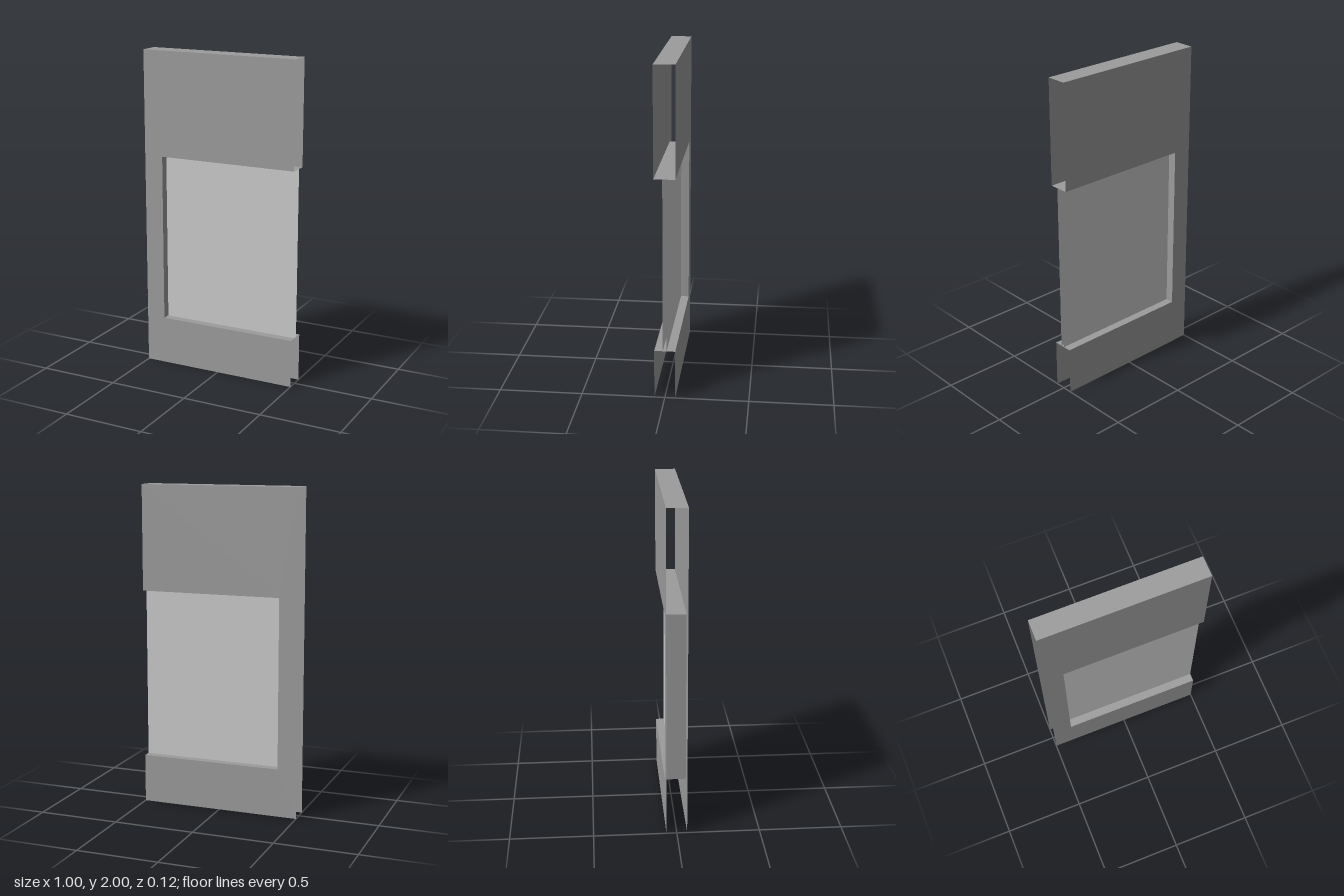
import * as THREE from 'three';

const W = 0.5, H = 2, D = 0.0625;               // half width, height, half depth
const X0 = -0.38, Y0 = 0.3, Y1 = 1.35;          // window opening, open towards +x
const PANE = 0.0115;                            // half thickness of the pane

export function createModel() {
  const group = new THREE.Group();
  const frameMat = new THREE.MeshStandardMaterial({ color: 0x9c9c9c, side: THREE.DoubleSide });
  const paneMat = new THREE.MeshStandardMaterial({ color: 0xcccccc, side: THREE.DoubleSide });

  function add(name, geometry, material) {
    const mesh = new THREE.Mesh(geometry, material);
    mesh.name = name;
    group.add(mesh);
    return mesh;
  }

  // C-shaped face sheet around the opening
  const sheet = new THREE.Shape([
    [-W, 0], [W, 0], [W, Y0], [X0, Y0], [X0, Y1], [W, Y1], [W, H], [-W, H],
  ].map(([x, y]) => new THREE.Vector2(x, y)));

  // Front and back layers of frame and pane, mirrored in z; ends stay open
  for (const [side, s] of [['front', 1], ['back', -1]]) {
    const face = add(side + 'Frame', new THREE.ShapeGeometry(sheet), frameMat);
    face.position.z = s * D;
    face.scale.z = s;

    const pane = add(side + 'Pane', new THREE.PlaneGeometry(W - X0, Y1 - Y0), paneMat);
    pane.position.set((W + X0) / 2, (Y0 + Y1) / 2, s * PANE);
    if (s < 0) pane.rotation.y = Math.PI;
  }

  // Horizontal strips: closed top, window sill and window head
  function strip(name, x, y, up) {
    const mesh = add(name, new THREE.PlaneGeometry(W - x, 2 * D), frameMat);
    mesh.position.set((W + x) / 2, y, 0);
    mesh.rotation.x = up ? -Math.PI / 2 : Math.PI / 2;
  }
  strip('frameTop', -W, H, true);
  strip('windowSill', X0, Y0, true);
  strip('windowHead', X0, Y1, false);

  // Upright side of the opening
  const jamb = add('windowJamb', new THREE.PlaneGeometry(2 * D, Y1 - Y0), frameMat);
  jamb.position.set(X0, (Y0 + Y1) / 2, 0);
  jamb.rotation.y = Math.PI / 2;

  return group;
}
